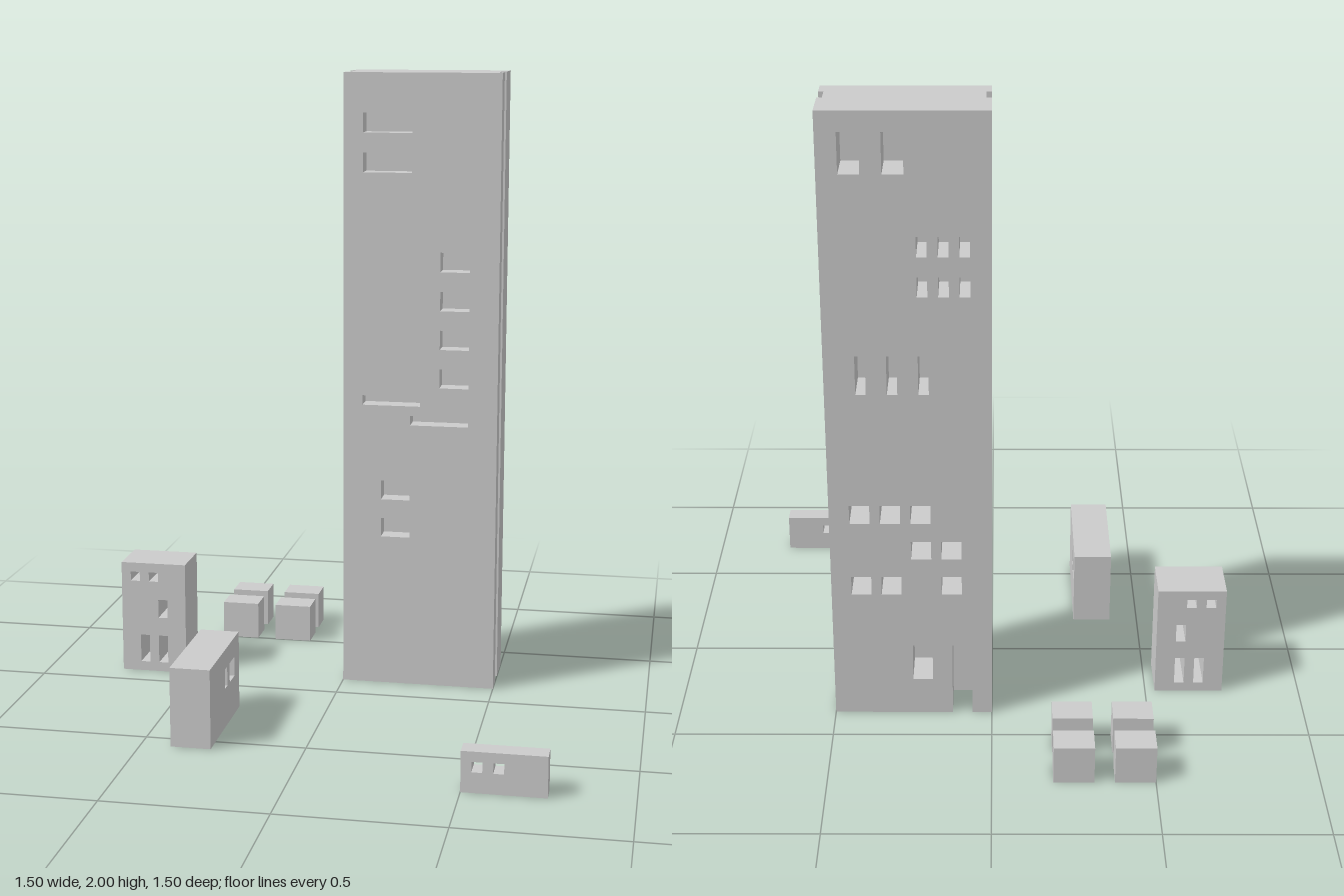
import * as THREE from 'three';

const U = 1 / 32; // one grid cell
const material = new THREE.MeshStandardMaterial({ color: 0xcccccc, flatShading: true });

// Corners of a rectangle given in cells
const corners = (x0, x1, y0, y1) =>
  [[x0, y0], [x1, y0], [x1, y1], [x0, y1]].map(([x, y]) => new THREE.Vector2(x * U, y * U));

// Slab in the xy plane from z0 to z1, pierced by windows [x0, x1, y0, y1]
function slab(name, outline, z0, z1, windows) {
  const shape = new THREE.Shape(outline);
  for (const w of windows) shape.holes.push(new THREE.Path(corners(...w)));
  const geometry = new THREE.ExtrudeGeometry(shape, { depth: (z1 - z0) * U, bevelEnabled: false });
  geometry.translate(0, 0, z0 * U);
  const mesh = new THREE.Mesh(geometry, material);
  mesh.name = name;
  return mesh;
}

function block(name, x0, x1, y0, y1, z0, z1) {
  const geometry = new THREE.BoxGeometry((x1 - x0) * U, (y1 - y0) * U, (z1 - z0) * U);
  geometry.translate((x0 + x1) / 2 * U, (y0 + y1) / 2 * U, (z0 + z1) / 2 * U);
  const mesh = new THREE.Mesh(geometry, material);
  mesh.name = name;
  return mesh;
}

function createTower() {
  const tower = new THREE.Group();
  tower.name = 'tower';

  // Front layer, its windows ending at the core
  const front = [
    [2, 7, 58, 60], [2, 7, 54, 56],
    [2, 8, 30, 31], [7, 13, 28, 29],
    [4, 7, 20, 22], [4, 7, 16, 18],
  ];
  for (const y of [44, 40, 36, 32]) front.push([10, 13, y, y + 2]);
  tower.add(slab('towerFront', corners(0, 16, 0, 64), -6, -4, front));

  // Slightly narrower core, leaving a groove down each side
  tower.add(block('towerCore', 0.5, 15.5, 0, 64, -8, -6));

  // Back layer: rows of windows as [left edges, width, bottom, height]
  const rows = [
    [[12, 8], 2, 58, 4],
    [[6, 4, 2], 1, 50, 2],
    [[6, 4, 2], 1, 46, 2],
    [[12, 9, 6], 1, 36, 4],
    [[12, 9, 6], 2, 22, 2],
    [[6, 3], 2, 18, 2],
    [[12, 9, 3], 2, 14, 2],
    [[6], 2, 4, 4],
  ];
  const back = rows.flatMap(([xs, w, y, h]) => xs.map((x) => [x, x + w, y, y + h]));
  // Outline with a doorway open at the ground
  const outline = [[0, 0], [2, 0], [2, 8], [4, 8], [4, 0], [16, 0], [16, 64], [0, 64]]
    .map(([x, y]) => new THREE.Vector2(x * U, y * U));
  tower.add(slab('towerBack', outline, -12, -8, back));
  return tower;
}

export function createModel() {
  const model = new THREE.Group();
  model.name = 'cityBlock';
  model.add(createTower());

  // Mid-height house with windows running right through
  model.add(slab('tallHouse', corners(-24, -17, 0, 12), -8, -3, [
    [-23, -22, 10, 11], [-21, -20, 10, 11], [-20, -19, 6, 8],
    [-22, -21, 1, 4], [-20, -19, 1, 4],
  ]));

  // Long house, drawn along z and turned so its windows face sideways
  const longHouse = slab('longHouse', corners(-18, -6, 0, 8), -13, -9, [
    [-12, -11, 4, 6], [-10, -8, 4, 6],
  ]);
  longHouse.rotation.y = Math.PI / 2;
  model.add(longHouse);

  // Low wall with two windows
  model.add(slab('lowWall', corners(16, 24, 0, 4), 22, 24, [
    [17, 18, 2, 3], [19, 20, 2, 3],
  ]));

  // Four huts behind the tower
  for (const x of [-16, -10]) {
    for (const z of [-24, -19]) model.add(block('hut', x, x + 4, 0, 4, z, z + 3));
  }
  return model;
}
